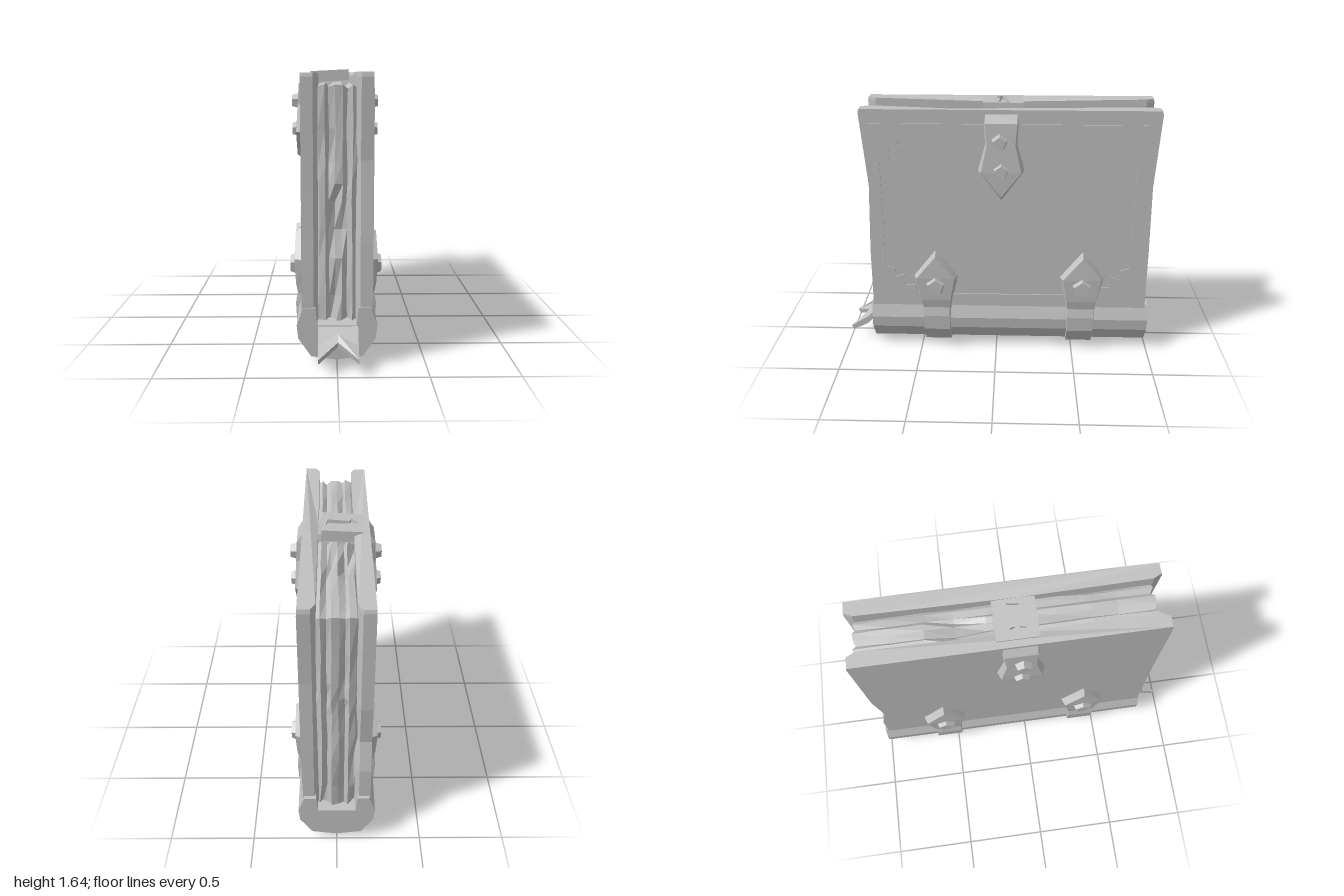
import * as THREE from 'three';

const grey = new THREE.MeshStandardMaterial({ color: 0xc0c0c0, flatShading: true });
grey.name = 'plain grey';

// Skin rows of points; rings may be closed and capped. Faces are turned outward.
function loft(rows, closed = true) {
  const tris = [], n = rows[0].length;
  for (let i = 0; i < rows.length - 1; i++)
    for (let j = 0; j < (closed ? n : n - 1); j++) {
      const k = (j + 1) % n;
      const a = rows[i][j], b = rows[i][k], c = rows[i + 1][k], d = rows[i + 1][j];
      tris.push([a, b, c], [a, c, d]);
    }
  if (closed) {
    const last = rows[rows.length - 1];
    for (let j = 1; j < n - 1; j++) {
      tris.push([rows[0][0], rows[0][j + 1], rows[0][j]]);
      tris.push([last[0], last[j], last[j + 1]]);
    }
  }
  const v = (p) => new THREE.Vector3(...p);
  const volume = tris.reduce((s, [a, b, c]) => s + v(a).dot(v(b).cross(v(c))), 0);
  if (volume < 0) tris.forEach((t) => t.reverse());
  const geo = new THREE.BufferGeometry();
  geo.setAttribute('position', new THREE.Float32BufferAttribute(tris.flat(2), 3));
  geo.computeVertexNormals();
  return geo;
}

const toShape = (pts) => new THREE.Shape(pts.map(([x, y]) => new THREE.Vector2(x, y)));
const extrude = (shape, depth) => new THREE.ExtrudeGeometry(shape, { depth, bevelEnabled: false });

export function createModel() {
  const book = new THREE.Group();
  book.name = 'book';
  const add = (name, geo) => {
    const mesh = new THREE.Mesh(geo, grey);
    mesh.name = name;
    book.add(mesh);
    return mesh;
  };
  let seed = 7;
  const rand = () => (seed = (seed * 16807) % 2147483647) / 2147483647;

  // Cover boards: slightly uneven edges, inner edges chamfered
  const board = (side, rows) => loft(rows.map(([y, zf, zb, sag = 0]) => [
    [0.197, y, zf], [0.197, y - sag, 0], [0.197, y, zb], [0.13, y, zb],
    [0.105, y, zb + 0.05], [0.105, y - sag, 0], [0.105, y, zf - 0.05], [0.13, y, zf],
  ].map(([x, py, z]) => [side * x, py, z])));
  add('rightCover', board(-1, [[0.24, 0.81, -0.97], [0.53, 0.812, -0.97], [0.72, 0.808, -0.93],
    [0.98, 0.81, -0.965], [1.6, 0.82, -0.98], [1.62, 0.815, -0.975, 0.02]]));
  add('leftCover', board(1, [[0.24, 0.81, -0.97], [0.7, 0.805, -0.965], [1.15, 0.785, -0.955],
    [1.6, 0.82, -0.98], [1.625, 0.815, -0.975, 0.025]]));

  // Spine
  const spineHalf = [[0.11, 0.23], [0.12, 0.33], [0.19, 0.33], [0.225, 0.23], [0.217, 0.155], [0.145, 0.05]];
  const spine = toShape([...spineHalf, [0, 0.03],
    ...spineHalf.map(([x, y]) => [-x, y]).reverse()]);
  add('spine', extrude(spine, 1.81).translate(0, 0, -0.99));

  // Page block: ragged ridges running up the ends and along the top
  const cols = [-0.125, -0.1, -0.065, -0.045, -0.01, 0.03, 0.055, 0.085, 0.105, 0.13];
  const ridge = [0.05, 0.012, 0, 0.028, 0.006, 0, 0.032, 0.004, 0.02, 0.05];
  const path = [];
  const ys = [0.2, 0.38, 0.6, 0.76, 0.92, 1.02, 1.13, 1.32];
  ys.forEach((y) => path.push([y, 0.775, 0, -1]));
  path.push([1.56, 0.775, -0.6, -0.6]);
  [0.55, 0.4, 0.2, 0, -0.2, -0.38, -0.55, -0.75].forEach((z) => path.push([1.57, z, -1, 0]));
  path.push([1.56, -0.95, -0.6, 0.6]);
  [...ys].reverse().forEach((y) => path.push([y, -0.95, 0, 1]));
  const pages = path.map(([y, z, ny, nz]) => cols.map((x, j) => {
    const gouge = rand() < 0.07 ? 0.04 : 0;
    const d = ridge[j] + rand() * 0.012 + gouge;
    return [x + (rand() - 0.5) * 0.008, y + ny * d, z + nz * d];
  }));
  add('pages', loft(pages, false));

  // Straps: each row is outer x, outer y, inner x, inner y, outer half width, inner half width
  const strap = (rows, zc) => loft(rows.map(([xo, yo, xi, yi, wo, wi]) => [
    [xi, yi, zc - wi], [xo, yo, zc - wo], [xo, yo, zc + wo], [xi, yi, zc + wi]]));
  const mirrorRows = (rows) => rows.map(([xo, yo, xi, ...r]) => [-xo, yo, -xi, ...r].flat());
  const stud = (side, y, z, r) => {
    const geo = new THREE.CylinderGeometry(r * 0.75, r, 0.045, 5);
    geo.rotateY(-Math.PI / 2).rotateZ(-side * Math.PI / 2);
    if (side < 0) geo.rotateX(0);
    // keep one corner of the pentagon upward
    const pos = geo.attributes.position;
    let top = -9, low = 9;
    for (let i = 0; i < pos.count; i++) {
      top = Math.max(top, pos.getY(i));
      low = Math.min(low, pos.getY(i));
    }
    if (top < -low) geo.rotateX(Math.PI);
    add('stud', geo.translate(side * 0.252, y, z));
  };

  const lower = [
    [0.243, 0.675, 0.185, 0.712, 0.002, 0.003], [0.248, 0.53, 0.185, 0.53, 0.122, 0.146],
    [0.24, 0.37, 0.185, 0.37, 0.092, 0.108], [0.228, 0.31, 0.18, 0.31, 0.085, 0.098],
    [0.242, 0.25, 0.2, 0.25, 0.085, 0.094], [0.236, 0.15, 0.2, 0.17, 0.085, 0.09],
    [0.157, 0.033, 0.13, 0.07, 0.085, 0.09]];
  const lowerFull = [...lower, [0, 0, 0, 0.05, 0.085, 0.09], ...mirrorRows(lower).reverse()];
  for (const z of [0.39, -0.55]) {
    add('spineStrap', strap(lowerFull, z));
    for (const side of [1, -1]) stud(side, 0.475, z, 0.07);
  }

  // Clasp strap over the top edge
  const upper = [
    [0.243, 1.095, 0.185, 1.055, 0.002, 0.003], [0.248, 1.25, 0.185, 1.25, 0.122, 0.146],
    [0.238, 1.42, 0.185, 1.42, 0.085, 0.1], [0.23, 1.55, 0.185, 1.53, 0.095, 0.108],
    [0.19, 1.61, 0.17, 1.54, 0.095, 0.108]];
  add('claspStrap', strap([...upper, [0.08, 1.595, 0.08, 1.54, 0.095, 0.108],
    ...mirrorRows(upper).reverse()], -0.03));
  for (const side of [1, -1]) {
    stud(side, 1.44, -0.02, 0.053);
    stud(side, 1.26, -0.03, 0.053);
  }

  // Clasp plate with a keyhole recess
  const plate = toShape([[-0.155, -0.085], [0.085, -0.085], [0.085, 0.16], [-0.155, 0.16]]);
  plate.holes.push(new THREE.Path([[-0.13, 0.03], [-0.09, 0.08], [-0.08, 0.05], [0.06, 0.08],
    [0.05, 0.01], [-0.08, 0.02], [-0.09, -0.015]].map(([x, y]) => new THREE.Vector2(x, y))));
  const clasp = new THREE.Group();
  clasp.name = 'clasp';
  clasp.rotation.z = 0.05;
  clasp.position.y = 1.615;
  const face = add('claspPlate', extrude(plate, 0.022).rotateX(-Math.PI / 2));
  const base = add('claspBase', new THREE.BoxGeometry(0.24, 0.045, 0.245).translate(-0.035, -0.0225, -0.0375));
  clasp.add(face, base);
  book.add(clasp);

  // Ornamental border on the left cover, stepped at its corners
  const [hw, hh] = [0.78, 0.55];
  const corner = [[hw, hh - 0.2], [hw - 0.06, hh - 0.18], [hw - 0.06, hh - 0.12], [hw - 0.12, hh - 0.14],
    [hw - 0.12, hh - 0.06], [hw - 0.18, hh - 0.06], [hw - 0.2, hh]];
  const flip = (sx, sy) => corner.map(([x, y]) => [x * sx, y * sy]);
  const inner = [...flip(1, 1), ...flip(-1, 1).reverse(), ...flip(-1, -1), ...flip(1, -1).reverse()];
  const border = toShape([[-0.83, -0.59], [0.83, -0.59], [0.83, 0.59], [-0.83, 0.59]]);
  border.holes.push(new THREE.Path(inner.map(([x, y]) => new THREE.Vector2(x, y))));
  add('coverBorder', extrude(border, 0.008).rotateY(Math.PI / 2).translate(0.196, 0.95, -0.07));

  // Swallow-tailed bookmark
  const ribbon = (x, pts) => [...pts.map(([z, y]) => [x, y, z]),
    ...[...pts].reverse().map(([z, y]) => [x, y - 0.03, z - 0.012])];
  const tail = [[0.74, 0.25], [0.82, 0.225], [0.895, 0.14], [0.99, 0.095]];
  const notch = [[0.74, 0.25], [0.82, 0.225], [0.85, 0.19], [0.885, 0.155]];
  add('bookmark', loft([ribbon(-0.105, tail), ribbon(0.005, notch), ribbon(0.118, tail)]));

  return book;
}
